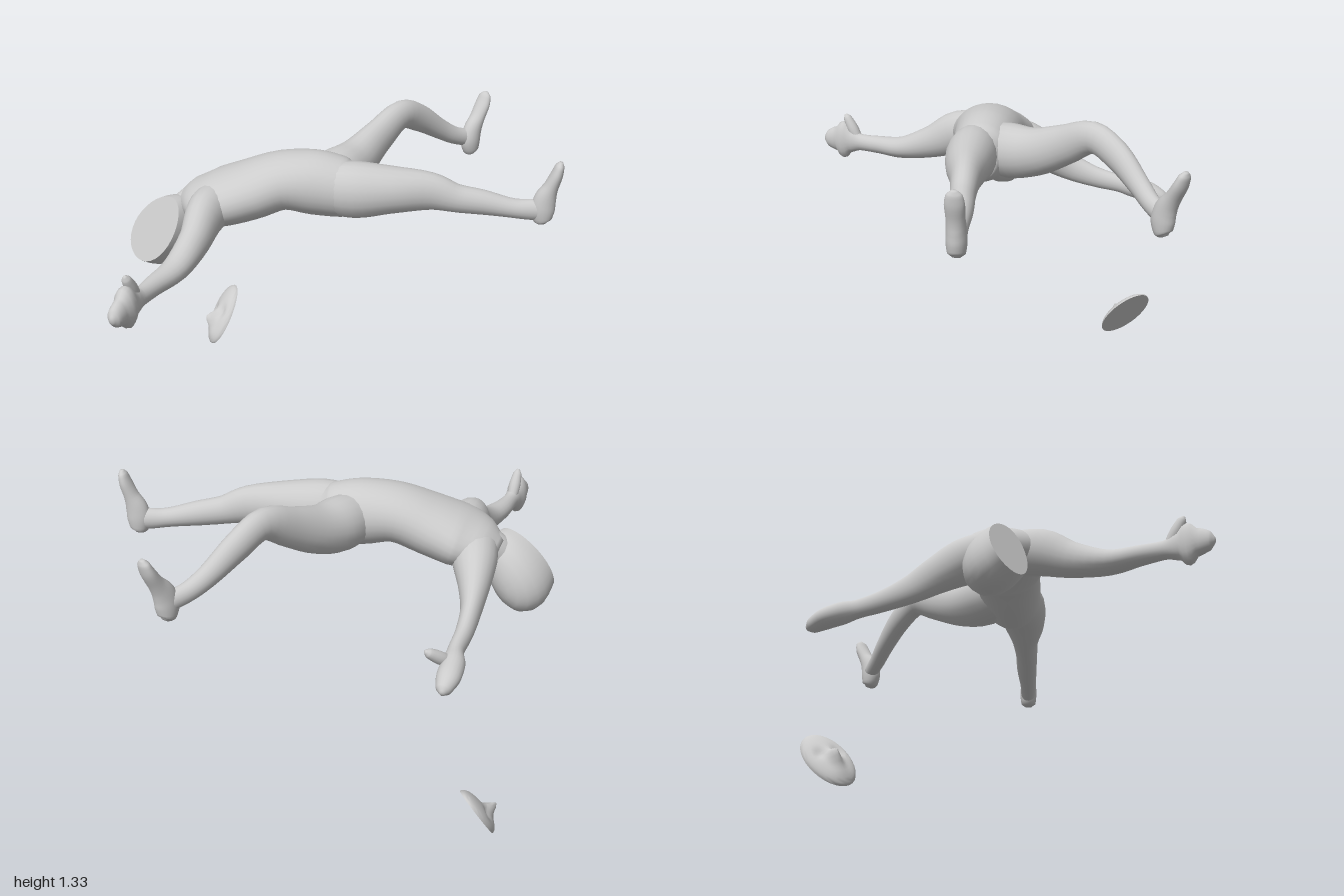
import * as THREE from 'three';
import { toCreasedNormals } from 'three/addons/utils/BufferGeometryUtils.js';

const V = (x, y, z) => new THREE.Vector3(x, y, z);
const grey = new THREE.MeshStandardMaterial({ color: 0xcccccc });

function named(name, geometry) {
  const mesh = new THREE.Mesh(geometry, grey);
  mesh.name = name;
  return mesh;
}

// Smooth tube of elliptical sections: [x, y, z, half width sideways, half width along up]
function loft(sections, up = V(0, 1, 0), sides = 20, perSpan = 4) {
  const path = new THREE.CatmullRomCurve3(sections.map(s => V(s[0], s[1], s[2])));
  const size = new THREE.CatmullRomCurve3(sections.map(s => V(s[3], s[4], 0)));
  const rings = (sections.length - 1) * perSpan;
  const pos = [], idx = [];
  for (let i = 0; i <= rings; i++) {
    const t = i / rings, c = path.getPoint(t), r = size.getPoint(t), T = path.getTangent(t);
    const N = up.clone().addScaledVector(T, -up.dot(T)).normalize();
    const B = T.clone().cross(N);
    for (let j = 0; j < sides; j++) {
      const a = j / sides * Math.PI * 2;
      const p = c.clone().addScaledVector(N, Math.cos(a) * r.y).addScaledVector(B, Math.sin(a) * r.x);
      pos.push(p.x, p.y, p.z);
    }
  }
  for (let i = 0; i < rings; i++) for (let j = 0; j < sides; j++) {
    const k = (j + 1) % sides, a = i * sides, b = a + sides;
    idx.push(a + j, a + k, b + k, a + j, b + k, b + j);
  }
  // End caps
  const first = pos.length / 3, last = first + 1, end = rings * sides;
  pos.push(...path.getPoint(0).toArray(), ...path.getPoint(1).toArray());
  for (let j = 0; j < sides; j++) {
    const k = (j + 1) % sides;
    idx.push(first, k, j, last, end + j, end + k);
  }
  const g = new THREE.BufferGeometry();
  g.setAttribute('position', new THREE.Float32BufferAttribute(pos, 3));
  g.setIndex(idx);
  g.computeVertexNormals();
  return g;
}

// Flat-backed dome: a lathe reshaped by a rule, then laid into a frame
function dome(profile, reshape, center, axis, long, width, depth, length) {
  const g = new THREE.LatheGeometry(profile.map(p => new THREE.Vector2(p[0], p[1])), 32);
  const p = g.attributes.position;
  for (let i = 0; i < p.count; i++) {
    const v = V().fromBufferAttribute(p, i);
    reshape(v);
    p.setXYZ(i, v.x, v.y, v.z);
  }
  const Y = axis.clone().normalize();
  const Z = long.clone().addScaledVector(Y, -long.dot(Y)).normalize();
  const X = Y.clone().cross(Z);
  const m = new THREE.Matrix4().makeBasis(
    X.multiplyScalar(width), Y.multiplyScalar(depth), Z.multiplyScalar(length)).setPosition(center);
  return toCreasedNormals(g.applyMatrix4(m), 0.9);
}

// Foot standing up from the heel; dir is the way the leg points
function foot(x, z, dir, lean) {
  const steps = [
    [0.985, 0.005, 0.014, 0.014], [1.0, 0, 0.034, 0.038], [1.05, -0.003, 0.04, 0.05],
    [1.1, 0.005, 0.038, 0.045], [1.15, 0.024, 0.036, 0.031], [1.2, 0.042, 0.038, 0.026],
    [1.24, 0.052, 0.03, 0.019], [1.258, 0.056, 0.01, 0.008],
  ];
  return loft(steps.map(([y, o, w, h]) =>
    [x + dir.x * o * lean, y, z + dir.z * o * lean, w, h]), dir);
}

export function createModel() {
  const body = new THREE.Group();
  body.name = 'lyingFigure';

  // Arched torso
  body.add(named('torso', loft([
    [-0.67, 1.0, 0.12, 0.06, 0.05], [-0.6, 1.025, 0.115, 0.15, 0.09],
    [-0.5, 1.05, 0.11, 0.185, 0.115], [-0.38, 1.09, 0.085, 0.17, 0.12],
    [-0.25, 1.135, 0.045, 0.145, 0.12], [-0.12, 1.13, 0.01, 0.135, 0.135],
    [0, 1.115, -0.015, 0.12, 0.125], [0.06, 1.115, -0.03, 0.07, 0.09],
  ], undefined, 28)));

  // Legs
  body.add(named('leftLeg', loft([
    [-0.1, 1.12, 0.03, 0.08, 0.1], [0.05, 1.12, 0.005, 0.105, 0.12],
    [0.2, 1.125, -0.035, 0.09, 0.1], [0.35, 1.12, -0.085, 0.06, 0.08],
    [0.45, 1.092, -0.115, 0.05, 0.06], [0.55, 1.075, -0.15, 0.047, 0.053],
    [0.68, 1.05, -0.19, 0.037, 0.041], [0.75, 1.045, -0.215, 0.035, 0.045],
    [0.81, 1.045, -0.232, 0.03, 0.04],
  ])));
  body.add(named('rightLeg', loft([
    [-0.12, 1.12, 0.0, 0.09, 0.1], [-0.07, 1.12, -0.12, 0.105, 0.115],
    [-0.03, 1.14, -0.24, 0.085, 0.1], [0.02, 1.2, -0.38, 0.06, 0.082],
    [0.08, 1.262, -0.52, 0.05, 0.064], [0.13, 1.215, -0.63, 0.047, 0.06],
    [0.2, 1.13, -0.74, 0.04, 0.045], [0.25, 1.085, -0.8, 0.035, 0.04],
    [0.31, 1.055, -0.87, 0.03, 0.04],
  ])));
  body.add(named('leftFoot', foot(0.792, -0.228, V(0.97, 0, -0.24), 1)));
  body.add(named('rightFoot', foot(0.315, -0.868, V(0.44, 0, -0.9), 1.6)));

  // Arms run on into mitten hands
  body.add(named('leftArm', loft([
    [-0.5, 1.05, 0.14, 0.1, 0.09], [-0.5, 1.035, 0.28, 0.08, 0.1],
    [-0.49, 0.98, 0.41, 0.063, 0.075], [-0.5, 0.93, 0.57, 0.055, 0.05],
    [-0.525, 0.92, 0.7, 0.042, 0.041], [-0.535, 0.918, 0.8, 0.032, 0.039],
    [-0.54, 0.92, 0.86, 0.036, 0.06], [-0.545, 0.92, 0.93, 0.036, 0.06],
    [-0.548, 0.915, 0.98, 0.028, 0.04], [-0.548, 0.913, 1.0, 0.008, 0.012],
  ])));
  body.add(named('rightArm', loft([
    [-0.57, 1.03, 0.1, 0.1, 0.09], [-0.605, 0.99, 0, 0.09, 0.095],
    [-0.635, 0.935, -0.1, 0.064, 0.08], [-0.655, 0.88, -0.2, 0.042, 0.063],
    [-0.665, 0.842, -0.32, 0.035, 0.047], [-0.667, 0.825, -0.43, 0.032, 0.04],
    [-0.68, 0.81, -0.5, 0.046, 0.046], [-0.685, 0.795, -0.57, 0.047, 0.042],
    [-0.685, 0.773, -0.63, 0.03, 0.03], [-0.685, 0.765, -0.65, 0.008, 0.01],
  ])));

  // Thumbs
  const thumb = (name, a, b, up) => {
    const at = (t, r) => [...V(...a).lerp(V(...b), t).toArray(), r, r];
    body.add(named(name, loft([at(0, 0.022), at(0.4, 0.026), at(0.85, 0.019), at(1, 0.006)], up, 14)));
  };
  thumb('leftThumb', [-0.54, 0.93, 0.82], [-0.545, 1.045, 0.885], V(1, 0, 0));
  thumb('rightThumb', [-0.665, 0.81, -0.49], [-0.59, 0.882, -0.57], V(0, 1, 0));

  // Neck and hanging head with a flat cut front
  body.add(named('neck', loft([
    [-0.56, 1.045, 0.11, 0.08, 0.08], [-0.63, 1.01, 0.135, 0.065, 0.07],
    [-0.69, 0.95, 0.17, 0.06, 0.065], [-0.73, 0.9, 0.19, 0.05, 0.05],
  ])));
  body.add(named('head', dome(
    [[0, 0], [1, 0], [1.06, 0.18], [1.09, 0.38], [1.03, 0.58], [0.85, 0.78], [0.6, 0.91], [0.3, 0.98], [0, 1]],
    v => { v.y *= 1 - 0.18 * v.z; v.x *= 1 - 0.12 * v.z; },
    V(-0.755, 0.92, 0.245), V(0.3, -0.35, -0.88), V(0.55, 0.77, -0.12), 0.105, 0.19, 0.165)));

  // Detached face: shallow dome with nose, brow and chin
  const shell = [[0, 0], [1, 0]];
  for (let i = 1; i <= 12; i++) {
    const a = i / 12 * Math.PI / 2;
    shell.push([Math.cos(a), Math.sin(a)]);
  }
  const bump = (v, x, z, sx, sz) => Math.exp(-(((v.x - x) / sx) ** 2) - ((v.z - z) / sz) ** 2);
  body.add(named('face', dome(shell, v => {
    if (v.y < 0.01) return;
    v.y += v.y * (1.1 * bump(v, 0, -0.28, 0.22, 0.25) + 0.25 * bump(v, 0, -0.72, 0.4, 0.2)
      - 0.35 * (bump(v, 0.42, 0.05, 0.25, 0.18) + bump(v, -0.42, 0.05, 0.25, 0.18)));
  }, V(-0.792, 0.124, -0.455), V(-0.65, 0.54, 0.53), V(0.16, 0.78, -0.6), 0.09, 0.042, 0.155)));

  return body;
}
